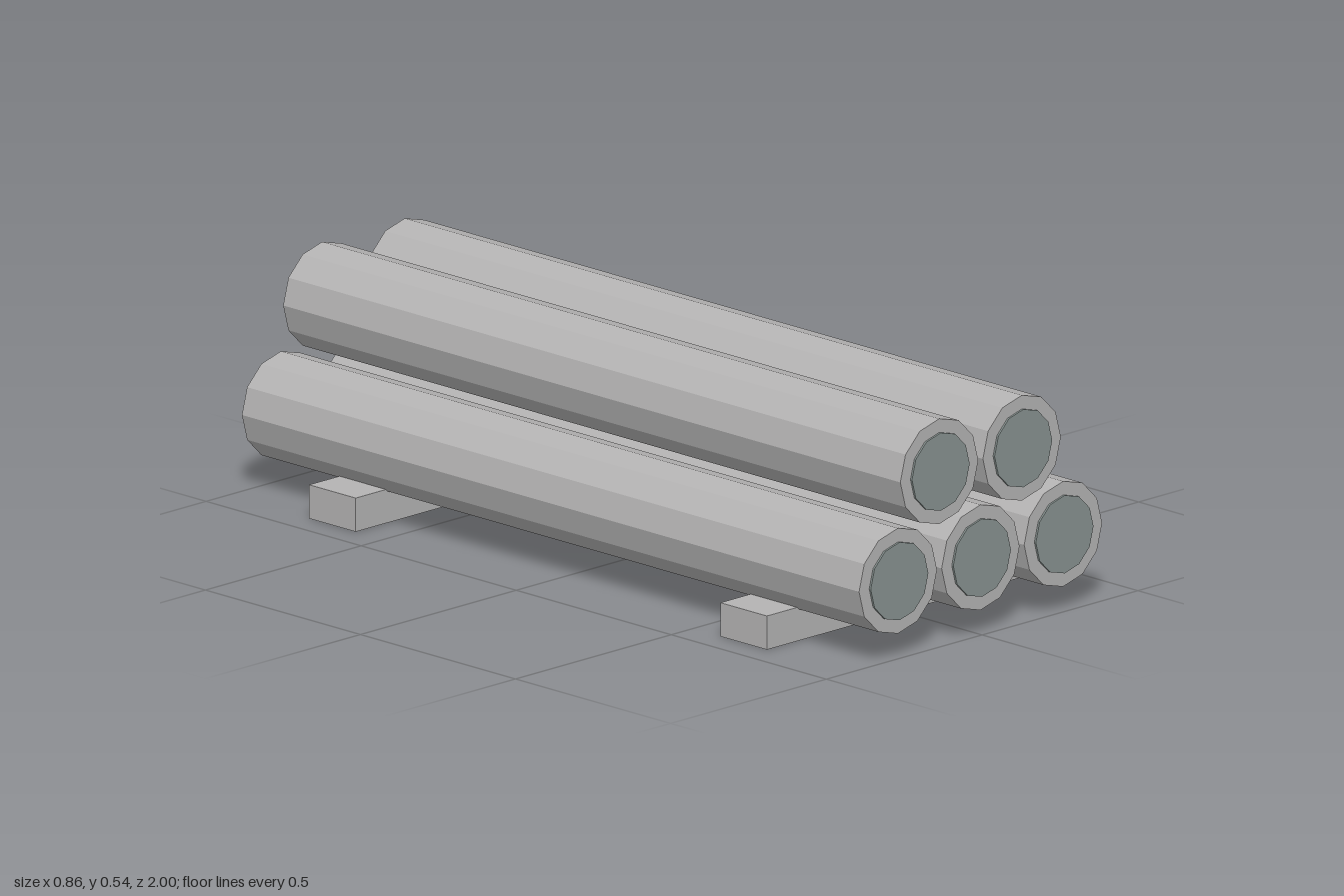
import * as THREE from 'three';

export function createModel() {
  const group = new THREE.Group();
  const steel = new THREE.MeshStandardMaterial({ color: 0xb4b3b3, flatShading: true });
  steel.name = 'pale grey';
  const bore = new THREE.MeshStandardMaterial({ color: 0x879290, flatShading: true });
  bore.name = 'grey green';

  const add = (geometry, material, name, x, y, z) => {
    const mesh = new THREE.Mesh(geometry, material);
    mesh.name = name;
    mesh.position.set(x, y, z);
    group.add(mesh);
  };

  // Twelve-sided pipes lying along z, with a thin inset-coloured disc on each end
  const pipe = new THREE.CylinderGeometry(0.125, 0.125, 1.99, 12).rotateX(Math.PI / 2);
  const disc = new THREE.CylinderGeometry(0.0925, 0.0925, 0.007, 12).rotateX(Math.PI / 2);
  const rows = [
    { y: 0.183, xs: [-0.265, 0, 0.265] },
    { y: 0.415, xs: [-0.1325, 0.1325] },
  ];
  for (const { y, xs } of rows) {
    for (const x of xs) {
      add(pipe, steel, 'pipe', x, y, 0);
      for (const side of [1, -1]) add(disc, bore, 'pipeOpening', x, y, side * 0.9965);
    }
  }

  // Two bearers across the bottom
  const bearer = new THREE.BoxGeometry(0.86, 0.08, 0.15);
  for (const side of [1, -1]) add(bearer, steel, 'bearer', 0, 0.04, side * 0.663);

  return group;
}
